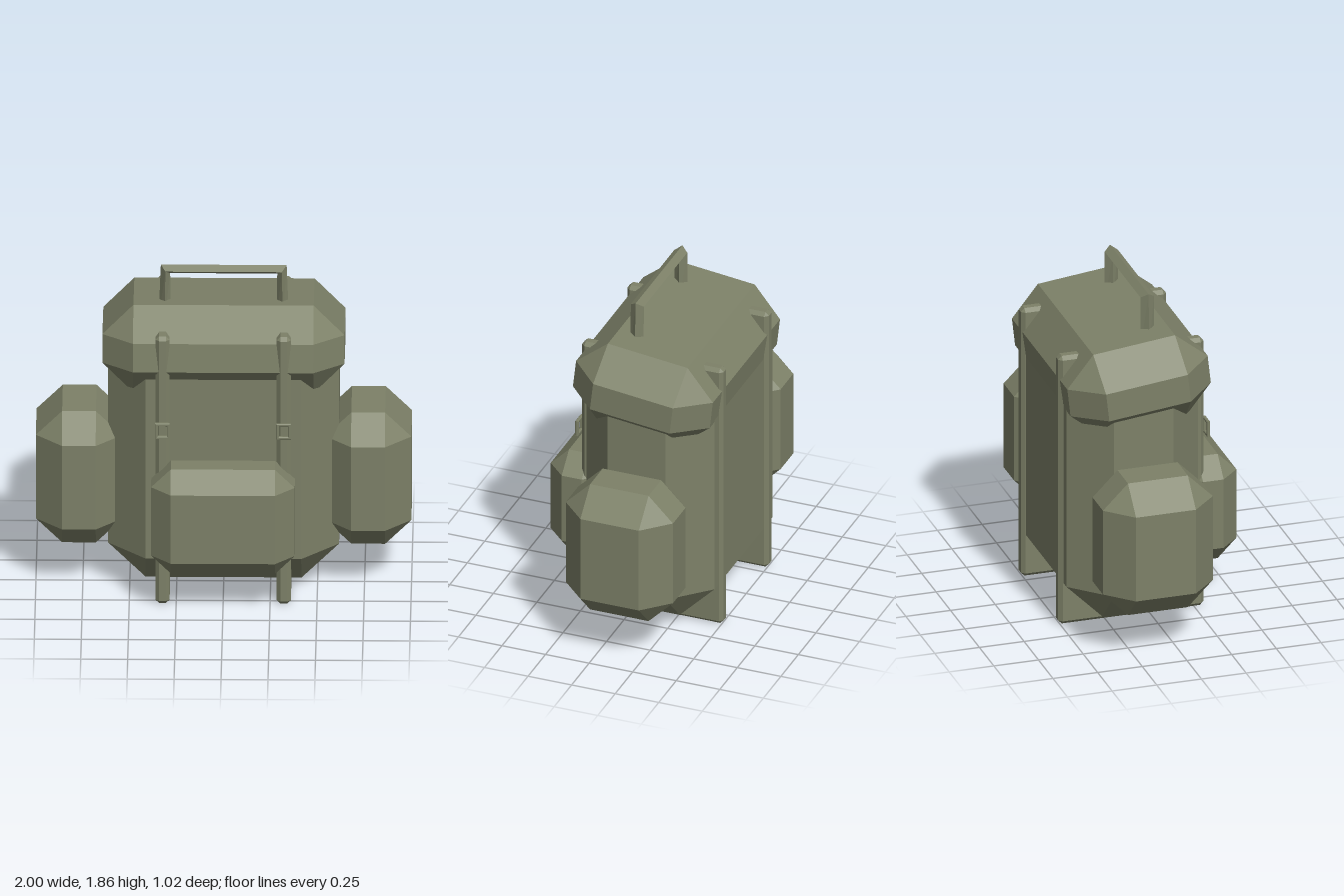
import * as THREE from 'three';
import { ConvexGeometry } from 'three/addons/geometries/ConvexGeometry.js';

const canvas = new THREE.MeshStandardMaterial({ color: 0x7d8168 });
canvas.name = 'olive canvas';

// Box with all edges chamfered by c, centred on its origin
function chamferBox(w, h, d, c) {
  const pts = [];
  for (const sx of [-1, 1]) for (const sy of [-1, 1]) for (const sz of [-1, 1]) {
    const x = w / 2, y = h / 2, z = d / 2;
    pts.push(
      new THREE.Vector3(sx * x, sy * (y - c), sz * (z - c)),
      new THREE.Vector3(sx * (x - c), sy * y, sz * (z - c)),
      new THREE.Vector3(sx * (x - c), sy * (y - c), sz * z),
    );
  }
  return new ConvexGeometry(pts);
}

// Square frame with a window, centred on its origin
function buckleGeometry(w, h, rim, depth) {
  const rect = (Path, a, b) => new Path([[-a, -b], [a, -b], [a, b], [-a, b]].map(p => new THREE.Vector2(...p)));
  const shape = rect(THREE.Shape, w / 2, h / 2);
  shape.holes.push(rect(THREE.Path, w / 2 - rim, h / 2 - rim));
  const bevel = 0.004;
  const geo = new THREE.ExtrudeGeometry(shape, {
    depth: depth - 2 * bevel, bevelEnabled: true, bevelThickness: bevel,
    bevelSize: bevel, bevelOffset: -bevel, bevelSegments: 1,
  });
  return geo.translate(0, 0, bevel - depth / 2);
}

// Diamond section swept along an arch; each ring is [x, y, offset x, offset y]
function handleGeometry() {
  const rings = [
    [-0.315, 1.55, -0.032, 0], [-0.31, 1.835, -0.025, 0.025],
    [0.31, 1.835, 0.025, 0.025], [0.315, 1.55, 0.032, 0],
  ].map(([x, y, ox, oy]) => [
    [x + ox, y + oy, 0], [x, y, 0.0375], [x - ox, y - oy, 0], [x, y, -0.0375],
  ]);
  const pos = [];
  for (let i = 0; i < rings.length - 1; i++) {
    for (let j = 0; j < 4; j++) {
      const k = (j + 1) % 4;
      const a = rings[i][j], b = rings[i][k], c = rings[i + 1][k], d = rings[i + 1][j];
      pos.push(...a, ...b, ...c, ...a, ...c, ...d);
    }
  }
  const geo = new THREE.BufferGeometry();
  geo.setAttribute('position', new THREE.Float32BufferAttribute(pos, 3));
  geo.computeVertexNormals();
  return geo;
}

export function createModel() {
  const group = new THREE.Group();
  group.name = 'backpack';

  const add = (name, geo, x = 0, y = 0, z = 0) => {
    const mesh = new THREE.Mesh(geo, canvas);
    mesh.name = name;
    mesh.position.set(x, y, z);
    group.add(mesh);
    return mesh;
  };

  // Main bag and the lid tipped towards the back
  add('body', chamferBox(1.23, 1.46, 0.735, 0.2), 0, 0.78, -0.1175);
  add('lid', chamferBox(1.29, 0.49, 0.79, 0.165), 0, 1.4, -0.1).rotation.x = -0.113;

  // Pockets
  add('frontPocket', chamferBox(0.765, 0.61, 0.325, 0.105), 0, 0.54, 0.3475);

  // Paired side pockets, straps around the bag, and buckles
  for (const [side, s] of [['left', 1], ['right', -1]]) {
    add(side + 'Pocket', chamferBox(0.46, 0.77, 0.615, 0.14), s * 0.77, 0.635, -0.1175);
    add(side + 'Strap', chamferBox(0.076, 1.565, 0.812, 0.02), s * 0.323, 0.7875, -0.102);
    add(side + 'Buckle', buckleGeometry(0.08, 0.092, 0.016, 0.018), s * 0.323, 1.035, 0.328);
  }

  // Carry handle
  add('handle', handleGeometry());

  return group;
}
